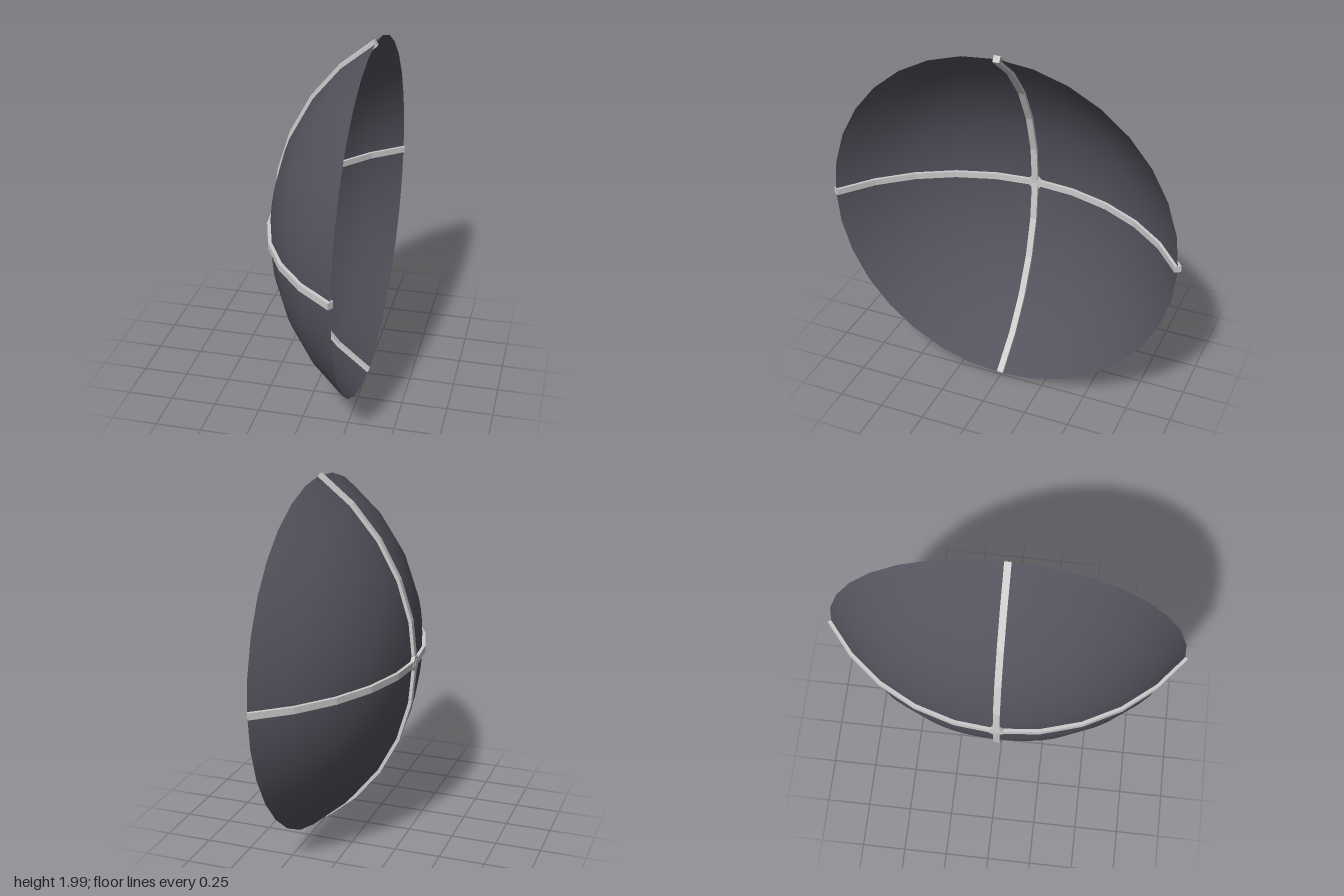
import * as THREE from 'three';

const R = 1.178;                       // sphere radius of the dish
const R_OUT = 1.196, R_IN = 1.161;     // rib faces outside and inside the shell
const CX = 0.917;                      // sphere centre along x
const STEP = Math.PI / 16;             // 11.25 degrees per facet
const RINGS = 5;
const RIB_W = 0.036;

export function createModel() {
  const model = new THREE.Group();
  model.name = 'dish';
  const dark = new THREE.MeshStandardMaterial({ color: 0x55525d, side: THREE.DoubleSide });
  const grey = new THREE.MeshStandardMaterial({ color: 0xcccccc });

  const add = (name, geometry, material) => {
    const mesh = new THREE.Mesh(geometry, material);
    mesh.name = name;
    model.add(mesh);
  };

  // Shell: a smooth spherical cap opening toward +x
  const profile = [];
  for (let i = 0; i <= RINGS; i++) {
    profile.push(new THREE.Vector2(R * Math.sin(i * STEP), -R * Math.cos(i * STEP)));
  }
  const shell = new THREE.LatheGeometry(profile, 32);
  shell.rotateZ(-Math.PI / 2).translate(CX, 0, 0);
  add('shell', shell, dark);

  // Ribs: faceted arcs of square section, passing through the shell
  const arcPoint = (r, i) => new THREE.Vector2(CX - r * Math.cos(i * STEP), r * Math.sin(i * STEP));
  const outline = [];
  for (let i = -RINGS; i <= RINGS; i++) outline.push(arcPoint(R_OUT, i));
  for (let i = RINGS; i >= -RINGS; i--) outline.push(arcPoint(R_IN, i));
  ['verticalRib', 'horizontalRib'].forEach((name, k) => {
    const rib = new THREE.ExtrudeGeometry(new THREE.Shape(outline), { depth: RIB_W, bevelEnabled: false });
    rib.translate(0, 0, -RIB_W / 2).rotateX(k * Math.PI / 2);
    add(name, rib, grey);
  });

  // Hub: chamfered plate where the ribs cross
  const a = RIB_W / 2, b = 0.038;
  const corners = [[b, a], [a, b], [-a, b], [-b, a], [-b, -a], [-a, -b], [a, -b], [b, -a]];
  const hub = new THREE.ExtrudeGeometry(
    new THREE.Shape(corners.map(([x, y]) => new THREE.Vector2(x, y))),
    { depth: R_OUT - R_IN - 0.003, bevelEnabled: false });
  hub.rotateY(Math.PI / 2).translate(CX - R_OUT + 0.002, 0, 0);
  add('hub', hub, grey);

  // Slight forward lean
  model.rotation.z = -0.007;
  model.position.y = 1;
  const root = new THREE.Group();
  root.add(model);
  return root;
}
